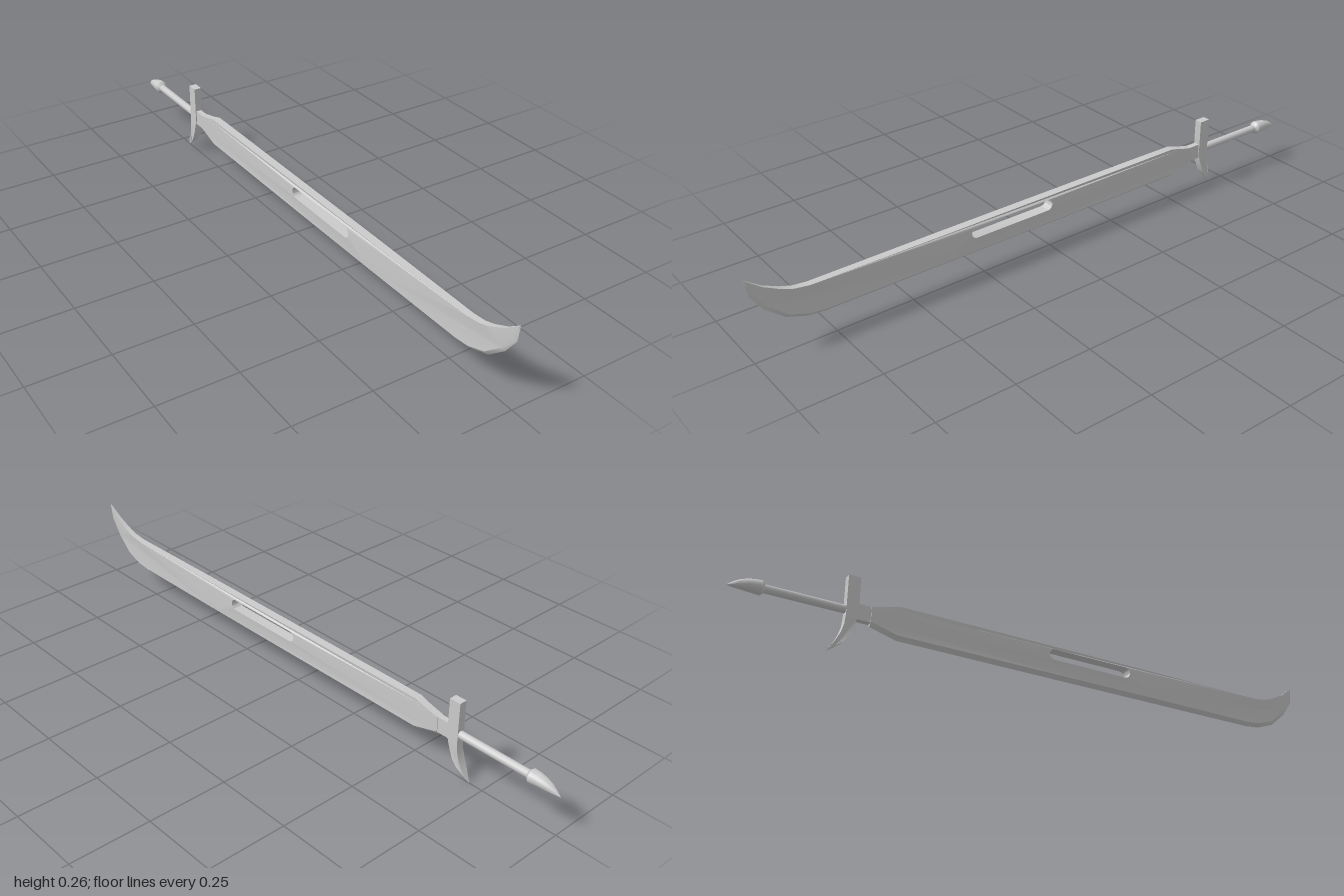
import * as THREE from 'three';
import { toCreasedNormals } from 'three/addons/utils/BufferGeometryUtils.js';

const AXIS_Y = 0.142; // height of the grip axis
const material = new THREE.MeshStandardMaterial({ color: 0xcccccc });

// Moves every vertex by a rule, then rebuilds normals with sharp edges kept.
function reshape(geometry, rule) {
  const p = geometry.attributes.position;
  const v = new THREE.Vector3();
  for (let i = 0; i < p.count; i++) {
    v.fromBufferAttribute(p, i);
    rule(v);
    p.setXYZ(i, v.x, v.y, v.z);
  }
  return toCreasedNormals(geometry, 0.5);
}

// Extrudes a (z, y) outline across x from -1 to 1, with a middle ring at x = 0.
function sideProfile(shape) {
  const g = new THREE.ExtrudeGeometry(shape, { depth: 2, steps: 2, bevelEnabled: false, curveSegments: 8 });
  g.translate(0, 0, -1);
  g.rotateY(-Math.PI / 2);
  return g;
}

const toPoints = (list) => list.map(([z, y]) => new THREE.Vector2(z, y));

function lerpTable(table, t) {
  for (let i = 1; i < table.length; i++) {
    const [a, va] = table[i - 1], [b, vb] = table[i];
    if (t <= b) return THREE.MathUtils.mapLinear(Math.max(t, a), a, b, va, vb);
  }
  return table[table.length - 1][1];
}

function createBlade() {
  // Lower outline from heel to tip, then the flat back from tip to heel.
  const edge = [[-0.585, 0.117], [-0.5, 0.094], [0, 0.094], [0.4, 0.094], [0.78, 0.094], [0.83, 0.099],
    [0.89, 0.12], [0.945, 0.167], [0.98, 0.218]];
  const back = [[0.997, 0.265], [0.95, 0.23], [0.9, 0.205], [0.865, 0.193], [0.82, 0.187],
    [0.4, 0.187], [-0.37, 0.187], [-0.5, 0.187], [-0.54, 0.175], [-0.585, 0.165]];
  const shape = new THREE.Shape(toPoints([...edge, ...back]));

  // Rounded slot through the blade
  const r = 0.018, slotY = 0.158, z0 = 0.003 + r, z1 = 0.3 - r;
  const slot = new THREE.Path();
  slot.absarc(z1, slotY, r, -Math.PI / 2, Math.PI / 2, false);
  slot.absarc(z0, slotY, r, Math.PI / 2, Math.PI * 1.5, false);
  shape.holes.push(slot);

  const width = [[-0.585, 0.011], [-0.5, 0.0125], [-0.37, 0.0135], [0.4, 0.0135], [0.82, 0.011],
    [0.9, 0.009], [0.95, 0.006], [1, 0.001]];
  const isSlot = (v) => v.z > -0.01 && v.z < 0.31 && v.y > 0.13 && v.y < 0.18;
  return reshape(sideProfile(shape), (v) => {
    const half = isSlot(v) ? 0.0175 : lerpTable(width, v.z);
    // Middle ring of the lower outline is pushed out into a cutting edge.
    if (Math.abs(v.x) < 0.01) {
      const i = edge.findIndex(([z, y]) => Math.abs(z - v.z) < 1e-4 && Math.abs(y - v.y) < 1e-4);
      if (i >= 0) {
        const turn = Math.max(0, (v.z - 0.78) / 0.22) * 1.2;
        v.y -= 0.012 * Math.cos(turn);
        v.z += 0.012 * Math.sin(turn);
      }
    }
    v.x *= half;
  });
}

function createGuard() {
  const shape = new THREE.Shape(toPoints([[-0.661, 0.248], [-0.661, 0.12], [-0.664, 0.09], [-0.672, 0.062],
    [-0.685, 0.035], [-0.705, 0.002], [-0.683, 0.018], [-0.663, 0.036], [-0.648, 0.058],
    [-0.637, 0.085], [-0.628, 0.112], [-0.624, 0.14], [-0.624, 0.248]]));
  // The hooked lower arm narrows to a point.
  return reshape(sideProfile(shape), (v) => {
    v.x *= 0.0125 * THREE.MathUtils.clamp(v.y / 0.045, 0.02, 1);
  });
}

function createPommel() {
  const profile = toPoints([[0, 0.895], [0.012, 0.895], [0.0215, 0.905], [0.02, 0.925], [0.0175, 0.945],
    [0.013, 0.967], [0.007, 0.985], [0, 1]]);
  const g = new THREE.LatheGeometry(profile, 14);
  g.rotateX(-Math.PI / 2);
  // The claw-like end droops toward its tip.
  return reshape(g, (v) => {
    const t = Math.max(0, (-v.z - 0.925) / 0.075);
    v.y += AXIS_Y - 0.016 * t * t;
  });
}

export function createModel() {
  const group = new THREE.Group();
  const add = (name, geometry) => {
    const mesh = new THREE.Mesh(geometry, material);
    mesh.name = name;
    group.add(mesh);
    return mesh;
  };

  add('blade', createBlade());
  add('bladeCollar', new THREE.BoxGeometry(0.018, 0.05, 0.05)).position.set(0, 0.14, -0.605);
  add('guard', createGuard());

  const grip = add('grip', new THREE.CylinderGeometry(0.0125, 0.0125, 0.245, 14));
  grip.rotation.x = Math.PI / 2;
  grip.position.set(0, AXIS_Y, -0.7775);

  add('pommel', createPommel());
  return group;
}
